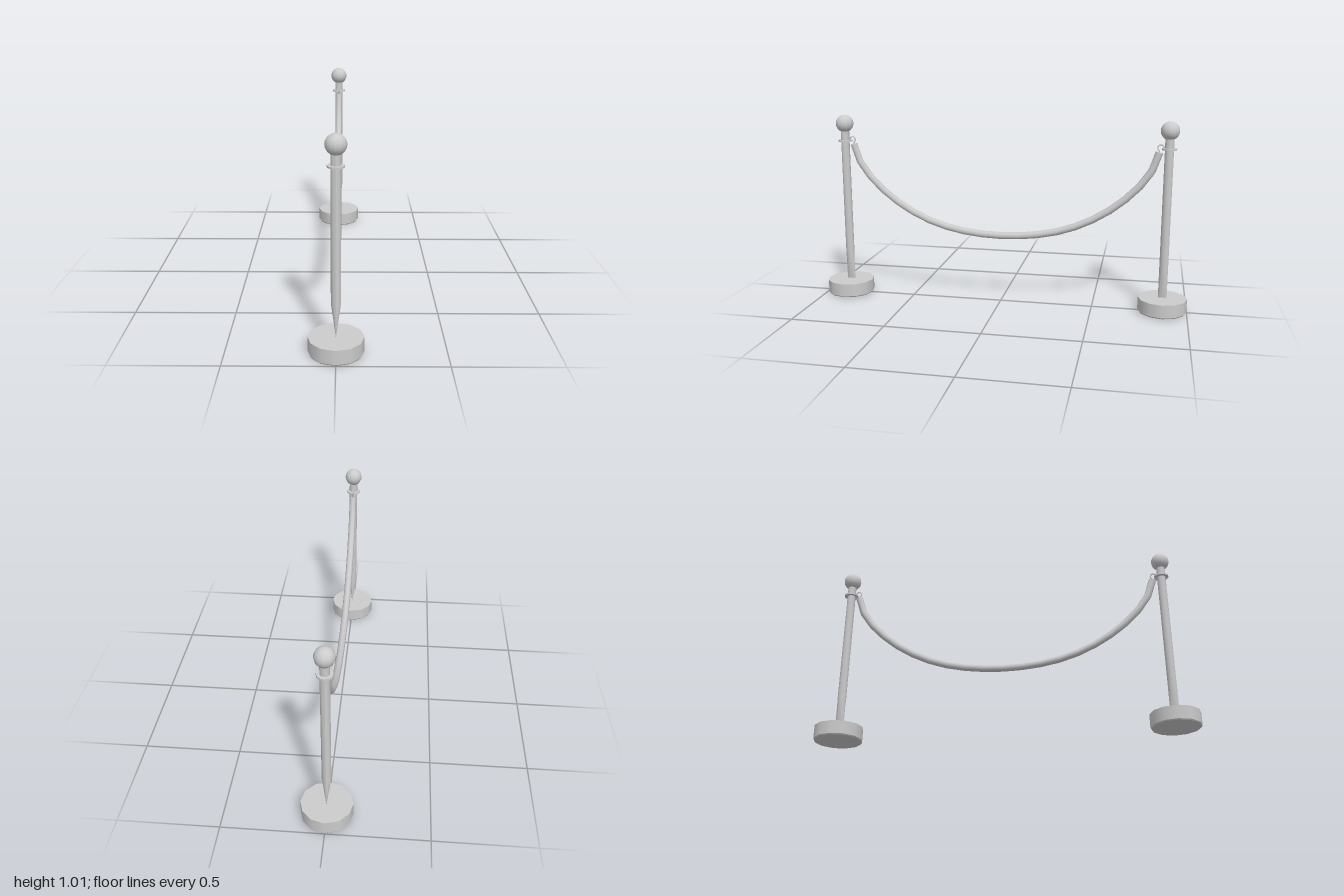
import * as THREE from 'three';

const material = new THREE.MeshStandardMaterial({ color: 0xcccccc, side: THREE.DoubleSide });
const POST_Z = 0.872;

function add(parent, name, geometry, x = 0, y = 0, z = 0) {
  const mesh = new THREE.Mesh(geometry, material);
  mesh.name = name;
  mesh.position.set(x, y, z);
  parent.add(mesh);
  return mesh;
}

// Lathe from [radius, height] pairs, with hard edges where a pair is repeated by the lathe's own normals
function lathe(pairs, sides) {
  return new THREE.LatheGeometry(pairs.map(([r, y]) => new THREE.Vector2(r, y)), sides);
}

// Round shaft whose lower end is squeezed in x to a chisel edge
function shaftGeometry() {
  const top = 0.92, bend = 0.24, bottom = 0.075, radius = 0.0228;
  const geometry = lathe([[radius, bottom], [radius, bend], [radius, top]], 12);
  const p = geometry.attributes.position;
  for (let i = 0; i < p.count; i++) {
    if (p.getY(i) < bend - 0.01) p.setX(i, 0);
  }
  geometry.computeVertexNormals();
  return geometry;
}

// One post, its rope side facing -z
function createPost() {
  const post = new THREE.Group();
  add(post, 'base', new THREE.CylinderGeometry(0.128, 0.128, 0.069, 12), 0, 0.0405);
  add(post, 'baseFoot', new THREE.CylinderGeometry(0.128, 0.124, 0.006, 12), 0, 0.003);
  add(post, 'shaft', shaftGeometry());
  add(post, 'collar', new THREE.CylinderGeometry(0.038, 0.038, 0.009, 16), 0, 0.866);
  add(post, 'ballFinial', new THREE.SphereGeometry(0.048, 12, 10), 0, 0.959);

  // Small hook over the collar rim, running down into the rope end
  const hookPath = new THREE.CatmullRomCurve3([
    [-0.029, 0.860], [-0.026, 0.874], [-0.034, 0.886], [-0.046, 0.888],
    [-0.057, 0.879], [-0.057, 0.866], [-0.050, 0.857], [-0.048, 0.842],
  ].map(([z, y]) => new THREE.Vector3(0, y, z)));
  add(post, 'hook', new THREE.TubeGeometry(hookPath, 16, 0.0035, 6));
  return post;
}

// Sagging rope with closed ends
function createRope() {
  const rope = new THREE.Group();
  rope.name = 'rope';
  const half = [
    [0.823, 0.848], [0.797, 0.765], [0.745, 0.685], [0.672, 0.608],
    [0.595, 0.545], [0.5, 0.485], [0.36, 0.423], [0.2, 0.385],
  ];
  const points = [...half, [0, 0.37], ...half.map(([z, y]) => [-z, y]).reverse()]
    .map(([z, y]) => new THREE.Vector3(0, y, z));
  const path = new THREE.CatmullRomCurve3(points);
  const radius = 0.0195;
  add(rope, 'ropeBody', new THREE.TubeGeometry(path, 20, radius, 8));
  for (const t of [0, 1]) {
    const cap = add(rope, 'ropeEnd', new THREE.CircleGeometry(radius, 8));
    const outward = path.getTangentAt(t).multiplyScalar(t ? 1 : -1);
    cap.position.copy(path.getPointAt(t));
    cap.quaternion.setFromUnitVectors(new THREE.Vector3(0, 0, 1), outward);
  }
  return rope;
}

export function createModel() {
  const model = new THREE.Group();
  model.name = 'ropeBarrier';
  for (const side of [1, -1]) {
    const post = createPost();
    post.name = side > 0 ? 'frontPost' : 'backPost';
    post.position.z = side * POST_Z;
    if (side < 0) post.rotation.y = Math.PI;
    model.add(post);
  }
  model.add(createRope());
  return model;
}
